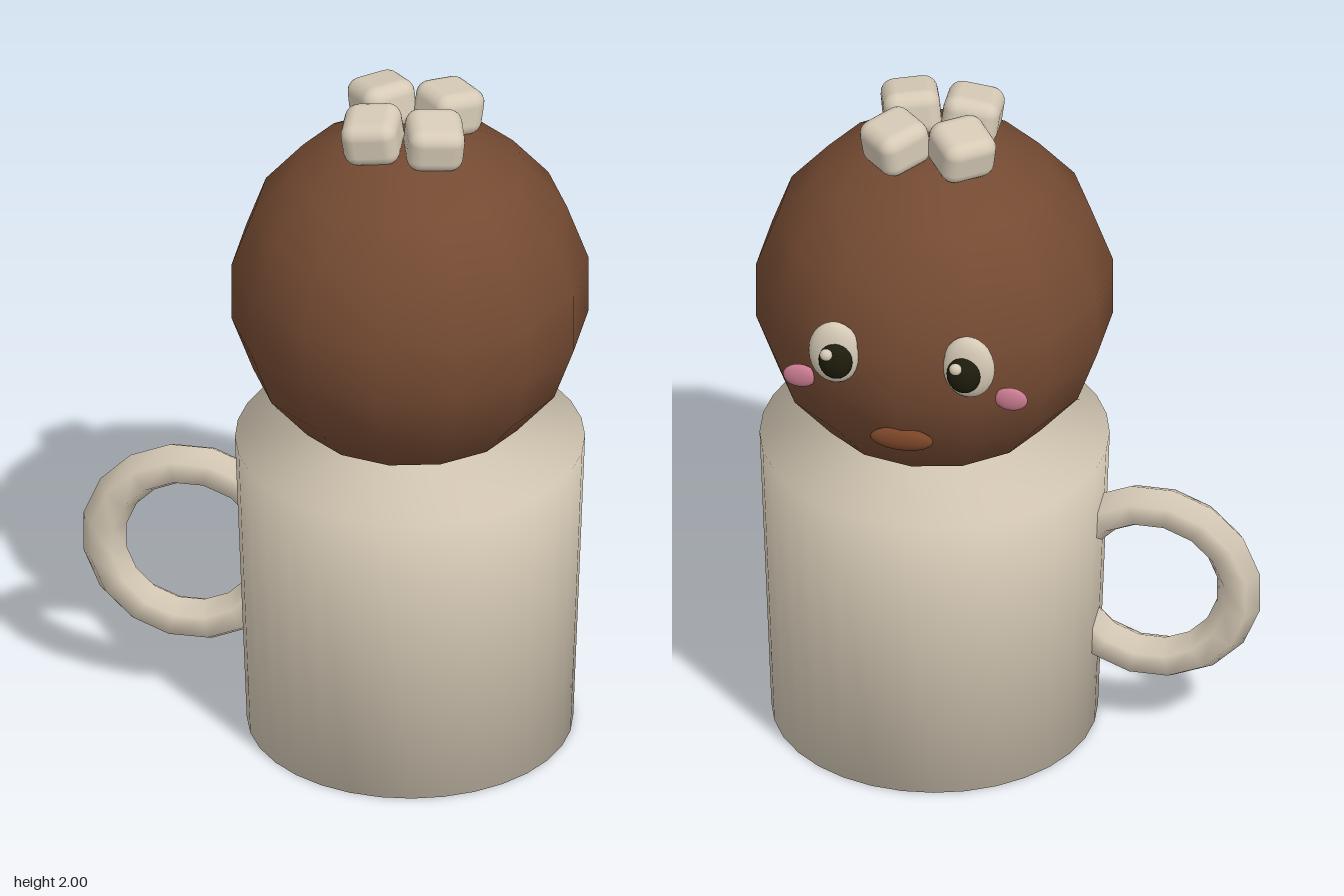
import * as THREE from 'three';
import { RoundedBoxGeometry } from 'three/addons/geometries/RoundedBoxGeometry.js';

const mat = (name, color) => {
  const m = new THREE.MeshStandardMaterial({ color });
  m.name = name;
  return m;
};

export function createModel() {
  const model = new THREE.Group();
  model.name = 'cocoaMug';
  const cream = mat('cream', 0xd6cab6);
  const brown = mat('chocolate', 0x744a32);
  const black = mat('eyeBlack', 0x1e1c0c);
  const pink = mat('cheekPink', 0xc87a90);
  const mouthBrown = mat('mouthBrown', 0x7a4528);

  const CX = 0.22, CZ = 0.012; // axis of mug and head

  const add = (name, geometry, material, x, y, z, parent = model) => {
    const mesh = new THREE.Mesh(geometry, material);
    mesh.name = name;
    mesh.position.set(x, y, z);
    parent.add(mesh);
    return mesh;
  };
  const ellipsoid = (name, material, [x, y, z], [rx, ry, rz], parent) =>
    add(name, new THREE.SphereGeometry(1, 20, 14).scale(rx, ry, rz), material, x, y, z, parent);

  // Mug: closed, softly shaded, tapering body
  const profile = [[0, 0], [0.455, 0], [0.488, 0.905], [0, 0.905]].map(([r, y]) => new THREE.Vector2(r, y));
  add('mugBody', new THREE.LatheGeometry(profile, 32), cream, CX, 0, CZ);

  // Handle: six-sided ring sunk into the mug wall
  const handle = add('mugHandle', new THREE.TorusGeometry(0.25, 0.062, 6, 16), cream, -0.4, 0.495, 0.006);
  handle.rotation.z = Math.PI / 16;

  // Round head
  const head = new THREE.SphereGeometry(0.505, 14, 9).rotateY(Math.PI / 2);
  add('head', head, brown, CX, 1.385, CZ);

  // Face on the -z side
  const face = new THREE.Group();
  face.name = 'face';
  model.add(face);
  for (const s of [-1, 1]) {
    const side = s > 0 ? 'left' : 'right';
    ellipsoid(side + 'EyeWhite', cream, [CX + s * 0.19, 1.44, -0.445], [0.075, 0.098, 0.035], face);
    ellipsoid(side + 'Pupil', black, [CX + s * 0.182, 1.43, -0.475], [0.048, 0.056, 0.03], face);
    ellipsoid(side + 'EyeGlint', cream, [CX + s * 0.184 + 0.02, 1.463, -0.5], [0.018, 0.018, 0.015], face);
    ellipsoid(side + 'Cheek', pink, [CX + s * 0.3, 1.315, -0.395], [0.048, 0.036, 0.016], face);
  }
  ellipsoid('mouth', mouthBrown, [CX, 1.175, -0.445], [0.09, 0.035, 0.022], face);

  // Marshmallows: x, z, spin about the vertical, then leaning outward
  const cubes = [
    [0.123, -0.085, 0.65],
    [0.312, -0.085, 0.8],
    [0.13, 0.1, 0.04],
    [0.305, 0.1, 0.28],
  ];
  cubes.forEach(([x, z, spin], i) => {
    const cube = add('marshmallow' + (i + 1), new RoundedBoxGeometry(0.16, 0.135, 0.16, 3, 0.04), cream, x, 1.923, z);
    const lean = new THREE.Quaternion().setFromEuler(new THREE.Euler((z - CZ) * 1.3, 0, -(x - CX) * 1.3));
    const turn = new THREE.Quaternion().setFromAxisAngle(new THREE.Vector3(0, 1, 0), spin);
    cube.quaternion.copy(lean.multiply(turn));
  });

  return model;
}
